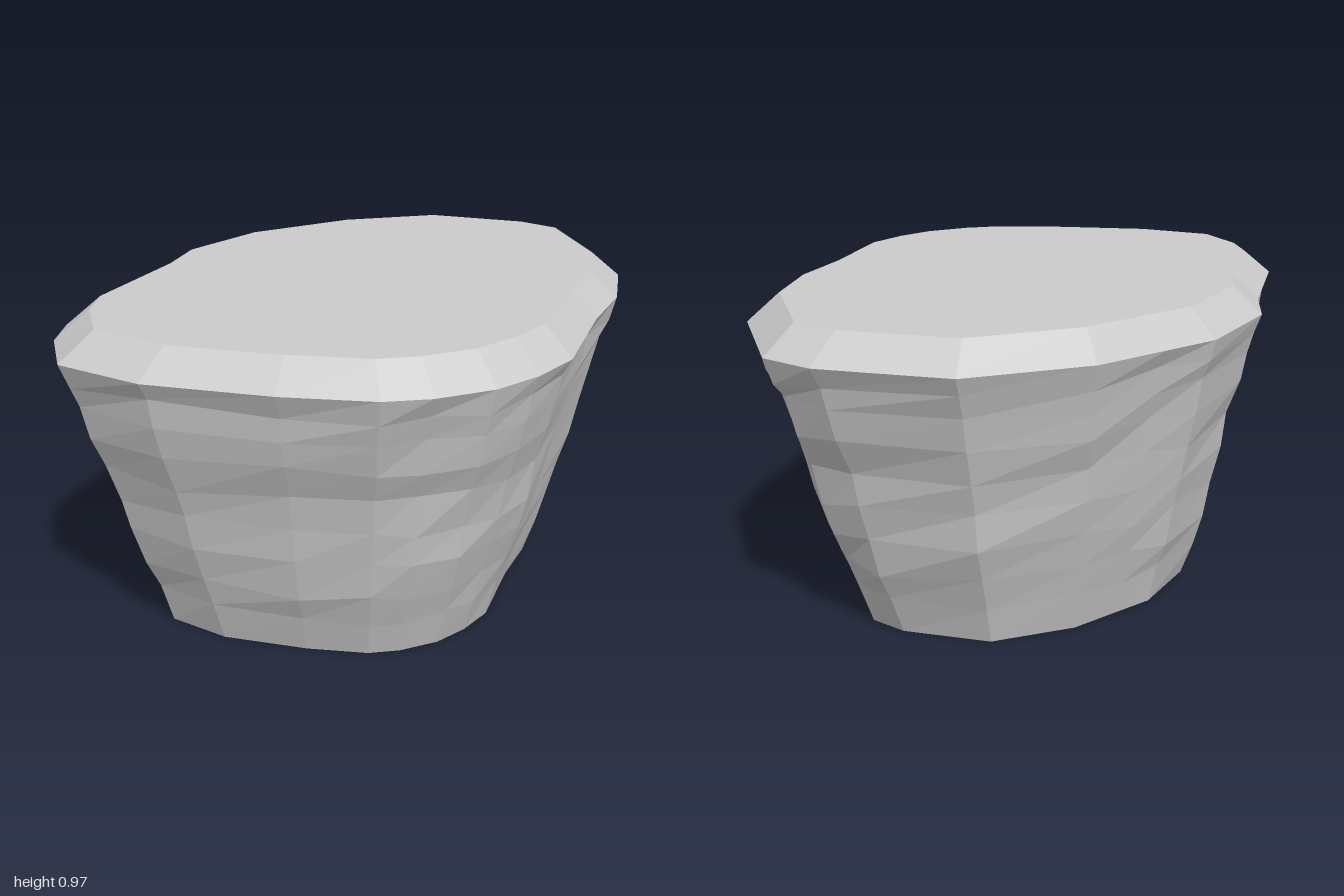
import * as THREE from 'three';

// Rim outline [x, z], walked back -> left side -> front -> right side
const OUTLINE = [
  [-0.06, -1.0], [0.33, -0.99], [0.49, -0.92], [0.6, -0.73], [0.71, -0.54], [0.75, -0.25],
  [0.73, 0.02], [0.735, 0.43], [0.68, 0.6], [0.6, 0.74], [0.47, 0.86], [0.35, 0.925],
  [0.09, 0.975], [-0.28, 1.0], [-0.56, 0.93], [-0.69, 0.74], [-0.74, 0.59], [-0.73, 0.12],
  [-0.755, -0.1], [-0.65, -0.45], [-0.53, -0.6], [-0.38, -0.79],
];

// Wall rows: [height, scale of the outline]
const ROWS = [
  [0, 0.69], [0.12, 0.735], [0.22, 0.775], [0.34, 0.815], [0.44, 0.845],
  [0.55, 0.875], [0.66, 0.915], [0.75, 0.945], [0.82, 0.97], [0.885, 1],
];

function seeded(seed) {
  return () => {
    seed = (seed * 16807) % 2147483647;
    return (seed / 2147483647) * 2 - 1;
  };
}

// Outline scaled to one level; the base sits slightly off the rim's centre
function ring(y, sx, sz = sx, jitter = () => 0) {
  const shift = Math.max(0, 1 - sx) / 0.31;
  return OUTLINE.map(([x, z]) => {
    const s = 1 + jitter() * 0.009;
    return [x * sx * s - 0.015 * shift, y + jitter() * 0.018, z * sz * s + 0.02 * shift];
  });
}

// Faceted skin through a stack of rings
function loft(rings) {
  const pos = [];
  const n = OUTLINE.length;
  for (let r = 0; r < rings.length - 1; r++) {
    for (let k = 0; k < n; k++) {
      const a = rings[r][k], b = rings[r][(k + 1) % n];
      const c = rings[r + 1][k], d = rings[r + 1][(k + 1) % n];
      pos.push(...b, ...a, ...c, ...b, ...c, ...d);
    }
  }
  return toGeometry(pos);
}

// Flat face filling one ring
function cap(points, up) {
  const pos = [];
  const centre = [0, points[0][1], 0];
  points.forEach((p, k) => {
    const q = points[(k + 1) % points.length];
    pos.push(...centre, ...(up ? q : p), ...(up ? p : q));
  });
  return toGeometry(pos);
}

function toGeometry(pos) {
  const g = new THREE.BufferGeometry();
  g.setAttribute('position', new THREE.Float32BufferAttribute(pos, 3));
  g.computeVertexNormals();
  return g;
}

export function createModel() {
  const group = new THREE.Group();
  group.name = 'rockPlatform';
  const material = new THREE.MeshStandardMaterial({ color: 0xcccccc, flatShading: true });
  const add = (name, geometry) => {
    const mesh = new THREE.Mesh(geometry, material);
    mesh.name = name;
    group.add(mesh);
  };

  // Rough tapering wall; first and last rows stay level
  const rand = seeded(41);
  const wall = ROWS.map(([y, s], i) =>
    ring(y, s, s, i > 0 && i < ROWS.length - 1 ? rand : undefined));
  add('rockWall', loft(wall));

  // Bevelled rim, flat top and underside
  const top = ring(0.967, 0.88, 0.91).map(([x, y, z], k) => {
    const [ox, oz] = OUTLINE[k];
    return [ox * 0.88, y, oz * 0.91];
  });
  add('bevelledRim', loft([wall[wall.length - 1], top]));
  add('topSurface', cap(top, true));
  add('underside', cap(wall[0], false));
  return group;
}
